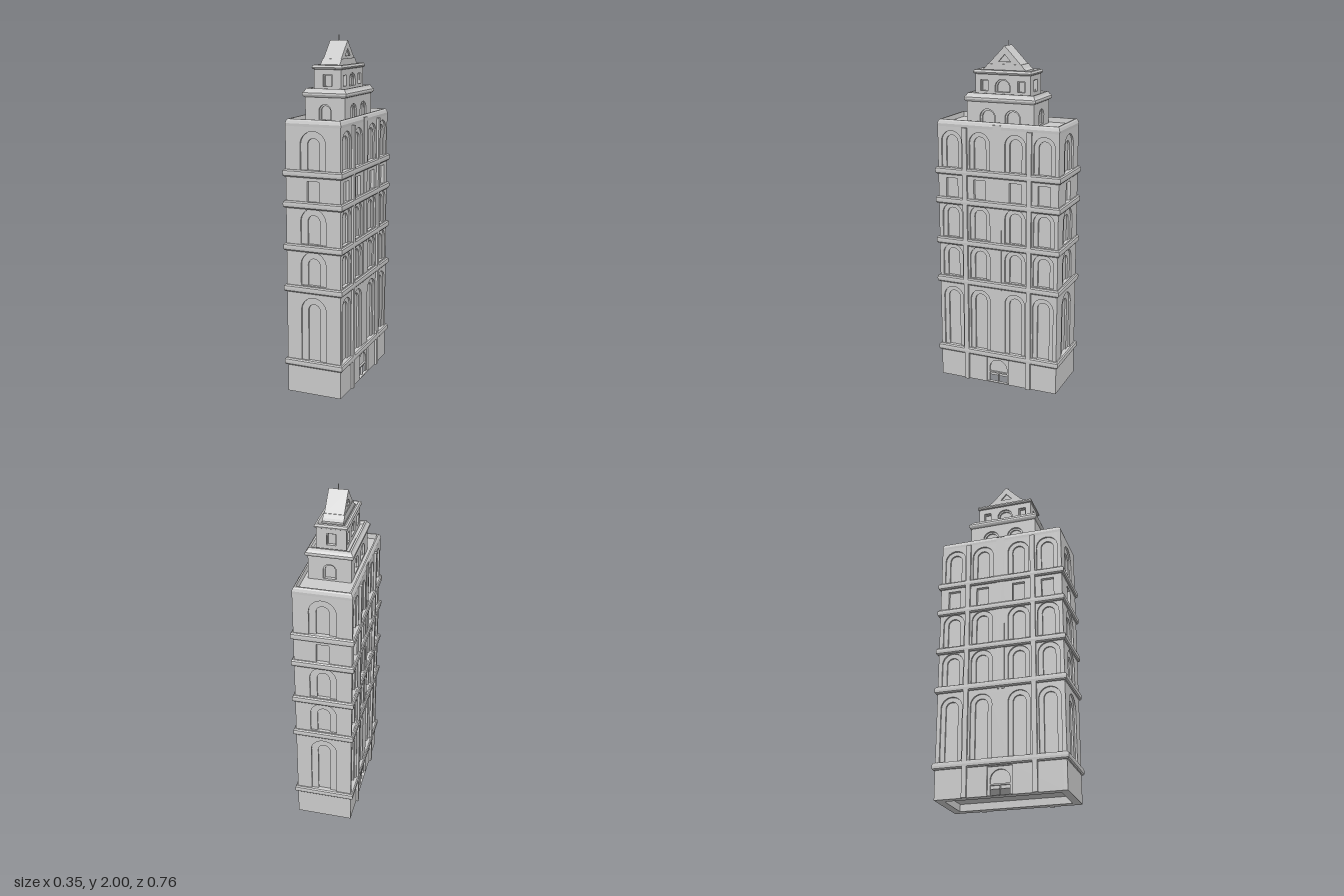
import * as THREE from 'three';

const mat = new THREE.MeshStandardMaterial({ color: 0xcccccc, flatShading: true });
const STEP = 0.01; // depth of each of the two window reveals

function add(parent, name, geo, x = 0, y = 0, z = 0) {
  const m = new THREE.Mesh(geo, mat);
  m.name = name;
  m.position.set(x, y, z);
  parent.add(m);
  return m;
}

const box = (w, h, d) => new THREE.BoxGeometry(w, h, d);

// Sweep a profile of [outward offset, y] points round a rectangle
function sweepRect(hx, hz, profile) {
  const pos = [];
  const corners = [[1, 1], [1, -1], [-1, -1], [-1, 1]];
  const at = (c, p) => [c[0] * (hx + p[0]), p[1], c[1] * (hz + p[0])];
  for (let i = 0; i < profile.length - 1; i++) {
    for (let k = 0; k < 4; k++) {
      const c0 = corners[k], c1 = corners[(k + 1) % 4];
      const a = at(c0, profile[i]), b = at(c1, profile[i]);
      const c = at(c1, profile[i + 1]), d = at(c0, profile[i + 1]);
      pos.push(...a, ...b, ...c, ...a, ...c, ...d);
    }
  }
  const g = new THREE.BufferGeometry();
  g.setAttribute('position', new THREE.Float32BufferAttribute(pos, 3));
  g.computeVertexNormals();
  return g;
}

// Rectangular or round-headed opening
function opening({ u, y0, y1, arch }, r, top) {
  const p = new THREE.Path();
  p.moveTo(u - r, y0);
  p.lineTo(u + r, y0);
  if (arch) {
    p.lineTo(u + r, top - r);
    p.absarc(u, top - r, r, 0, Math.PI, false);
  } else {
    p.lineTo(u + r, top);
    p.lineTo(u - r, top);
  }
  p.closePath();
  return p;
}

function panel(w, y0, y1, holes) {
  const s = new THREE.Shape();
  s.moveTo(-w / 2, y0);
  s.lineTo(w / 2, y0);
  s.lineTo(w / 2, y1);
  s.lineTo(-w / 2, y1);
  s.closePath();
  s.holes.push(...holes);
  return new THREE.ExtrudeGeometry(s, { depth: STEP, bevelEnabled: false, curveSegments: 14 });
}

// Storey block: solid core faced on four sides with two pierced layers
function tier(parent, name, hx, hz, y0, y1, endWins, sideWins, coreY0, coreY1) {
  const g = new THREE.Group();
  g.name = name;
  parent.add(g);
  const t = 2 * STEP;
  add(g, name + 'Core', box(2 * (hx - t), coreY1 - coreY0, 2 * (hz - t)), 0, (coreY0 + coreY1) / 2, 0);
  for (let k = 0; k < 4; k++) {
    const isEnd = k % 2 === 0;
    const wins = isEnd ? endWins : sideWins;
    const w = isEnd ? 2 * hx : 2 * (hz - t);
    const d = isEnd ? hz : hx;
    const wall = new THREE.Group();
    wall.name = isEnd ? name + 'EndWall' : name + 'LongWall';
    wall.rotation.y = k * Math.PI / 2;
    g.add(wall);
    const outer = wins.map(o => opening({ ...o, arch: o.arch && !o.door }, o.r, o.y1));
    const inner = wins.map(o => opening(o, o.ri, o.y1 - (o.r - o.ri)));
    add(wall, 'outerReveal', panel(w, y0, y1, outer), 0, 0, d - STEP);
    add(wall, 'innerReveal', panel(w, y0, y1, inner), 0, 0, d - t);
  }
  return g;
}

export function createModel() {
  const root = new THREE.Group();
  root.name = 'tower';
  const HX = 0.162, HZ = 0.365;

  // Main block windows, storey by storey: [sill, head, round-headed]
  const storeys = [
    [0.2, 0.572, true], [0.642, 0.835, true], [0.878, 1.08, true],
    [1.115, 1.23, false], [1.29, 1.502, true],
  ];
  const endWins = [], sideWins = [];
  for (const [y0, y1, arch] of storeys) {
    endWins.push({ u: 0, y0, y1, arch, r: arch ? 0.075 : 0.036, ri: 0.036 });
    for (const u of [-0.28, -0.108, 0.108, 0.28])
      sideWins.push({ u, y0, y1, arch, r: arch ? 0.062 : 0.036, ri: 0.036 });
  }
  // Arched entrance in a square reveal on each long side
  sideWins.push({ u: 0, y0: 0.004, y1: 0.158, arch: true, door: true, r: 0.07, ri: 0.055 });
  const main = tier(root, 'mainBlock', HX, HZ, 0, 1.53, endWins, sideWins, 0.04, 1.535);

  // Underside lip round the hollow bottom
  add(main, 'baseLip', sweepRect(HX, HZ, [[-0.045, 0.04], [-0.045, 0], [0, 0]]));

  // Sloped parapet round the sunken roof
  add(main, 'parapet', sweepRect(HX, HZ, [
    [0, 1.525], [0.001, 1.54], [-0.004, 1.555], [-0.01, 1.563], [-0.018, 1.563], [-0.022, 1.53],
  ]));

  // Rounded string courses
  for (const y of [0.182, 0.618, 0.855, 1.097, 1.27]) {
    add(root, 'stringCourse', sweepRect(HX, HZ, [
      [-0.005, y - 0.02], [0.007, y - 0.02], [0.013, y - 0.013], [0.014, y],
      [0.013, y + 0.013], [0.007, y + 0.02], [-0.005, y + 0.02],
    ]));
  }

  // Pilasters, centre strips and door bars on both long sides
  for (const s of [-1, 1]) {
    for (const z of [-0.195, 0.195])
      add(root, 'pilaster', box(0.02, 1.525, 0.027), s * 0.165, 0.7625, z);
    add(root, 'centreStrip', box(0.012, 0.96, 0.05), s * 0.159, 1.07, 0);
    add(root, 'doorTransom', box(0.012, 0.008, 0.11), s * 0.147, 0.062, 0);
    add(root, 'doorMullion', box(0.012, 0.06, 0.006), s * 0.147, 0.032, 0);
  }

  // First setback
  const lower = tier(root, 'lowerSetback', 0.118, 0.2, 1.5, 1.68,
    [{ u: 0, y0: 1.545, y1: 1.63, arch: true, r: 0.036, ri: 0.027 }],
    [-0.075, 0.075].map(u => ({ u, y0: 1.545, y1: 1.63, arch: true, r: 0.046, ri: 0.036 })),
    1.5, 1.7);
  add(lower, 'lowerCornice', sweepRect(0.118, 0.2, [
    [-0.005, 1.665], [0.008, 1.672], [0.013, 1.682], [0.012, 1.692], [0.002, 1.703],
    [-0.004, 1.715], [-0.014, 1.715], [-0.024, 1.695],
  ]));

  // Second setback
  const upper = tier(root, 'upperSetback', 0.081, 0.164, 1.69, 1.825,
    [{ u: 0, y0: 1.725, y1: 1.79, arch: false, r: 0.026, ri: 0.02 }],
    [{ u: 0, y0: 1.722, y1: 1.793, arch: true, r: 0.045, ri: 0.036 },
      ...[-0.11, 0.11].map(u => ({ u, y0: 1.725, y1: 1.785, arch: false, r: 0.022, ri: 0.017 }))],
    1.69, 1.832);
  add(upper, 'upperCornice', sweepRect(0.081, 0.164, [
    [-0.003, 1.815], [0.006, 1.82], [0.009, 1.828], [0.004, 1.84], [-0.007, 1.842], [-0.015, 1.825],
  ]));

  // Gabled roof with its ridge across the short side
  const gable = new THREE.Group();
  gable.name = 'gableRoof';
  gable.rotation.y = Math.PI / 2;
  root.add(gable);
  const prism = (name, pts, depth, hole) => {
    const s = new THREE.Shape(pts.map(p => new THREE.Vector2(...p)));
    if (hole) s.holes.push(new THREE.Path(hole.map(p => new THREE.Vector2(...p))));
    add(gable, name, new THREE.ExtrudeGeometry(s, { depth, bevelEnabled: false }), 0, 0, -depth / 2);
  };
  prism('gableBase', [[-0.13, 1.825], [0.13, 1.825], [0.13, 1.842], [0.115, 1.852],
    [0.1, 1.872], [-0.1, 1.872], [-0.115, 1.852], [-0.13, 1.842]], 0.114);
  prism('gable', [[-0.1, 1.868], [0.1, 1.868], [0, 1.972]], 0.106,
    [[-0.036, 1.886], [0.036, 1.886], [0, 1.926]]);
  prism('gableInfill', [[-0.07, 1.875], [0.07, 1.875], [0, 1.95]], 0.088);

  // Thin mast
  add(root, 'mast', new THREE.CylinderGeometry(0.0025, 0.0025, 0.04, 8), 0, 1.98, 0);

  return root;
}
